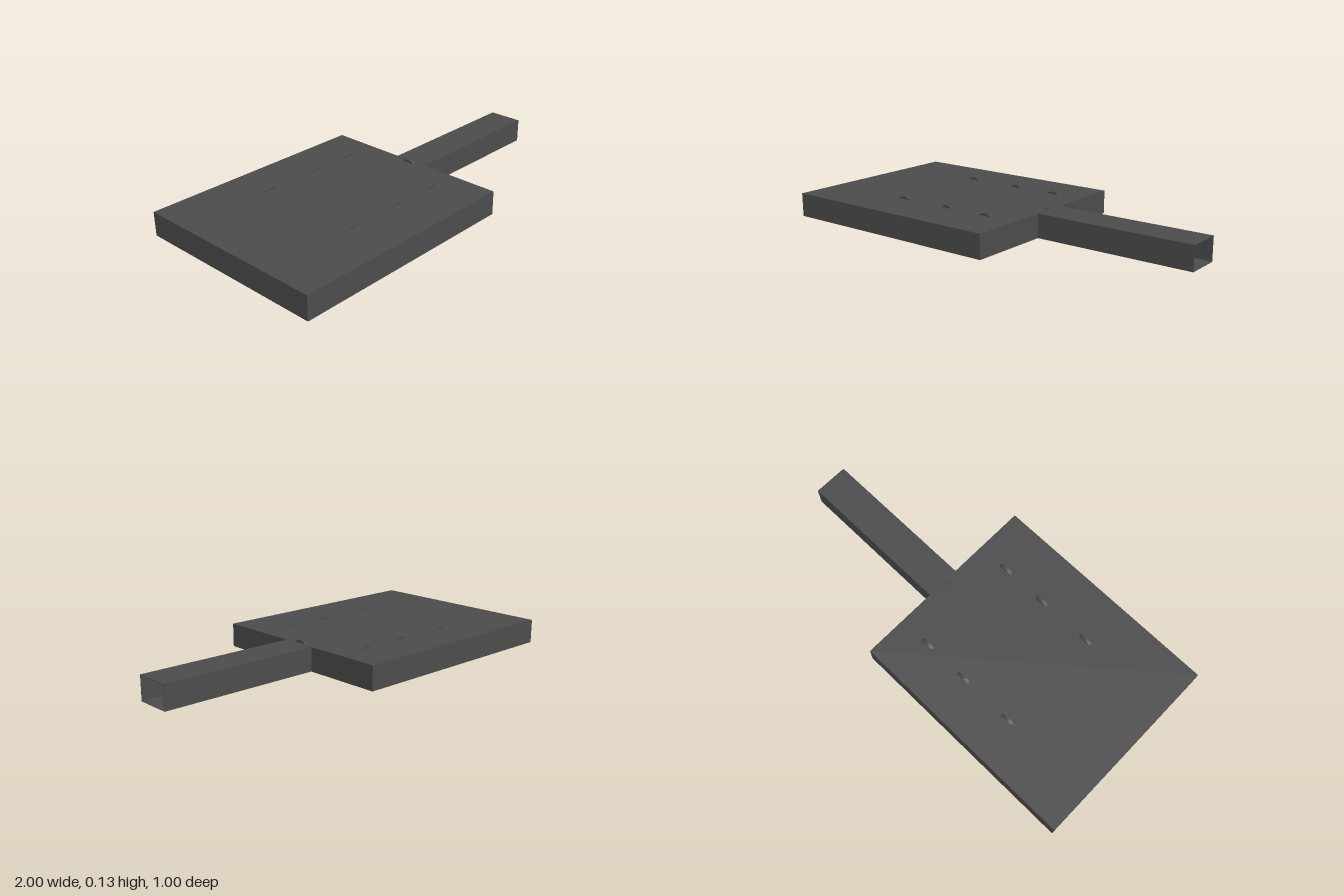
import * as THREE from 'three';

const H = 0.12;        // building height
const T = 0.002;       // shell thickness
const DOOR = 0.034;    // half width of an archway opening
const SPRING = 0.079;  // height where the arches begin
const RIM = 0.054;     // outer radius of an arch

export function createModel() {
  const stone = new THREE.MeshStandardMaterial({ color: 0x4c4c4c });
  stone.name = 'dark stone';
  const model = new THREE.Group();
  model.name = 'hallWithCorridor';

  // Box given by its minimum and maximum corners
  function slab(parent, name, x0, x1, y0, y1, z0, z1) {
    const mesh = new THREE.Mesh(new THREE.BoxGeometry(x1 - x0, y1 - y0, z1 - z0), stone);
    mesh.position.set((x0 + x1) / 2, (y0 + y1) / 2, (z0 + z1) / 2);
    mesh.name = name;
    parent.add(mesh);
  }

  // Upright plate centred on z = 0
  function plate(parent, name, shape, depth) {
    const geo = new THREE.ExtrudeGeometry(shape, { depth, bevelEnabled: false, curveSegments: 20 });
    geo.translate(0, 0, -depth / 2);
    const mesh = new THREE.Mesh(geo, stone);
    mesh.name = name;
    parent.add(mesh);
    return mesh;
  }

  // Wall outline with arched openings cut up from the floor
  function wallWithDoors(x0, x1, top, doors) {
    const s = new THREE.Shape();
    s.moveTo(x0, T);
    for (const d of doors) {
      s.lineTo(d - DOOR, T);
      s.lineTo(d - DOOR, SPRING);
      s.absarc(d, SPRING, DOOR, Math.PI, 0, true);
      s.lineTo(d + DOOR, T);
    }
    s.lineTo(x1, T);
    s.lineTo(x1, top);
    s.lineTo(x0, top);
    return s;
  }

  // Arch rim, pilasters with bases and capitals, and brackets
  function archway() {
    const g = new THREE.Group();
    g.name = 'archway';
    const rim = new THREE.Shape();
    rim.moveTo(RIM, SPRING);
    rim.absarc(0, SPRING, RIM, 0, Math.PI, false);
    rim.lineTo(-DOOR, SPRING);
    rim.absarc(0, SPRING, DOOR, Math.PI, 0, true);
    plate(g, 'archRim', rim, 0.016);
    for (const s of [-1, 1]) {
      const block = (name, c, w, y0, y1, d) =>
        slab(g, name, s * c - w / 2, s * c + w / 2, y0, y1, -d / 2, d / 2);
      block('pilaster', 0.046, 0.020, T, 0.106, 0.018);
      block('pilasterBase', 0.046, 0.024, T, 0.009, 0.026);
      block('pilasterFoot', 0.046, 0.022, 0.009, 0.016, 0.022);
      block('capital', 0.047, 0.024, 0.106, 0.112, 0.022);
      block('cornice', 0.050, 0.030, 0.112, H - T, 0.028);
      block('bracket', 0.050, 0.007, 0.060, 0.090, 0.024);
      block('bracketCap', 0.050, 0.010, 0.084, 0.090, 0.027);
    }
    return g;
  }

  // Hall shell, leaving the corridor mouth open
  const hall = new THREE.Group();
  hall.name = 'hall';
  model.add(hall);
  slab(hall, 'hallFloor', -1, 0.19, 0, T, -0.5, 0.5);
  slab(hall, 'hallRoof', -1, 0.19, H - T, H, -0.5, 0.5);
  slab(hall, 'hallFrontWall', -1, 0.19, T, H - T, 0.5 - T, 0.5);
  slab(hall, 'hallBackWall', -1, 0.19, T, H - T, -0.5, -0.5 + T);
  slab(hall, 'hallEndWall', -1, -1 + T, T, H - T, -0.5 + T, 0.5 - T);
  slab(hall, 'corridorSideWall', 0.19 - T, 0.19, T, H - T, 0.075, 0.5 - T);
  slab(hall, 'corridorSideWall', 0.19 - T, 0.19, T, H - T, -0.5 + T, -0.1);

  // Corridor, open at its far end
  const corridor = new THREE.Group();
  corridor.name = 'corridor';
  model.add(corridor);
  slab(corridor, 'corridorFloor', 0.19, 1, 0, T, -0.1, 0.077);
  slab(corridor, 'corridorRoof', 0.19, 1, H - T, H, -0.1, 0.077);
  slab(corridor, 'corridorFrontWall', 0.19 - T, 1, T, H - T, 0.077 - T, 0.077);
  slab(corridor, 'corridorBackWall', 0.19 - T, 1, T, H - T, -0.1, -0.1 + T);

  // Entrance portal between corridor and hall, with steps
  const portal = archway();
  portal.name = 'entrancePortal';
  plate(portal, 'portalWall', wallWithDoors(-0.087, 0.09, H - T, [0]), 0.012);
  for (let i = 0; i < 4; i++) {
    slab(portal, 'step', -DOOR, DOOR, T, 0.008 + i * 0.006, -0.05, 0.006 - i * 0.01);
  }
  portal.rotation.y = Math.PI / 2;
  portal.position.set(0.172, 0, -0.01);
  model.add(portal);

  // Two arcades dividing the hall into three aisles, with cross walls at the sides
  const doors = [-0.505, -0.22, 0.02];
  for (const z of [0.256, -0.284]) {
    const arcade = new THREE.Group();
    arcade.name = 'arcade';
    arcade.position.z = z;
    plate(arcade, 'arcadeWall', wallWithDoors(-1 + T, 0.19 - T, H - T, doors), 0.012);
    for (const x of doors) {
      const arch = archway();
      arch.position.x = x;
      arcade.add(arch);
    }
    model.add(arcade);
    const outer = z > 0 ? [z, 0.5 - T] : [-0.5 + T, z];
    slab(model, 'crossWall', -0.656, -0.644, T, H - T, ...outer);
  }
  return model;
}
